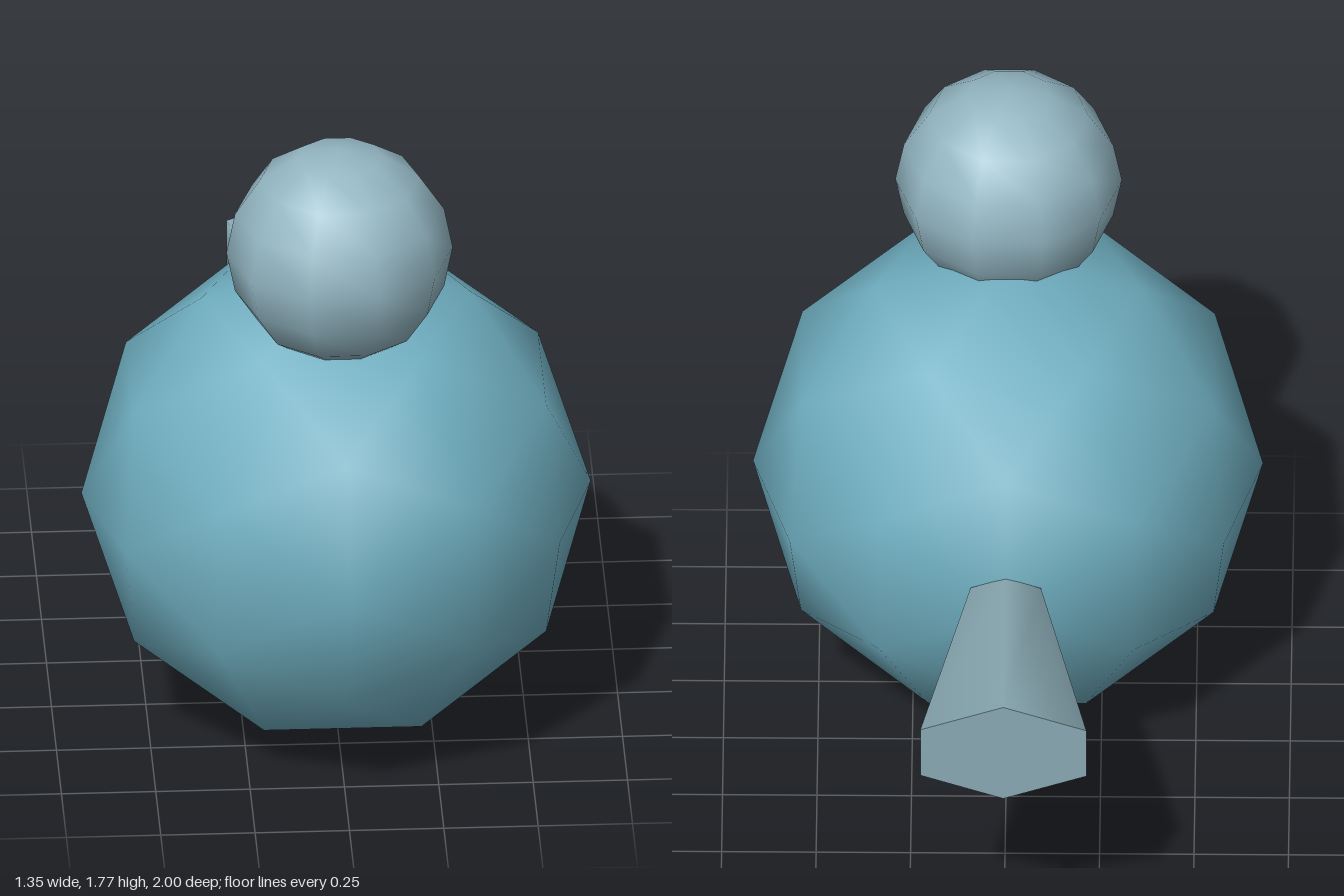
import * as THREE from 'three';

export function createModel() {
  const model = new THREE.Group();
  const add = (name, geometry, color, x, y, z) => {
    const mesh = new THREE.Mesh(geometry, new THREE.MeshStandardMaterial({ color }));
    mesh.name = name;
    mesh.position.set(x, y, z);
    model.add(mesh);
    return mesh;
  };

  // Round body: a coarse icosphere with smooth normals
  add('body', new THREE.IcosahedronGeometry(0.675, 1), 0x6faec0, 0, 0.675, 0.325);

  // Head resting on the front of the body
  add('head', new THREE.SphereGeometry(0.3, 10, 8), 0x93b6c2, 0, 1.475, 0.505);

  // Six-sided tail, flattened and widening towards the back
  const tailStart = -0.318;
  const tailLength = 1 + tailStart;
  const tailGeometry = new THREE.CylinderGeometry(0.064, 0.151, tailLength, 6);
  tailGeometry.rotateX(Math.PI / 2);
  tailGeometry.scale(1.68, 1, 1);
  add('tail', tailGeometry, 0x8aaab4, 0, 0.71, tailStart - tailLength / 2);

  return model;
}
